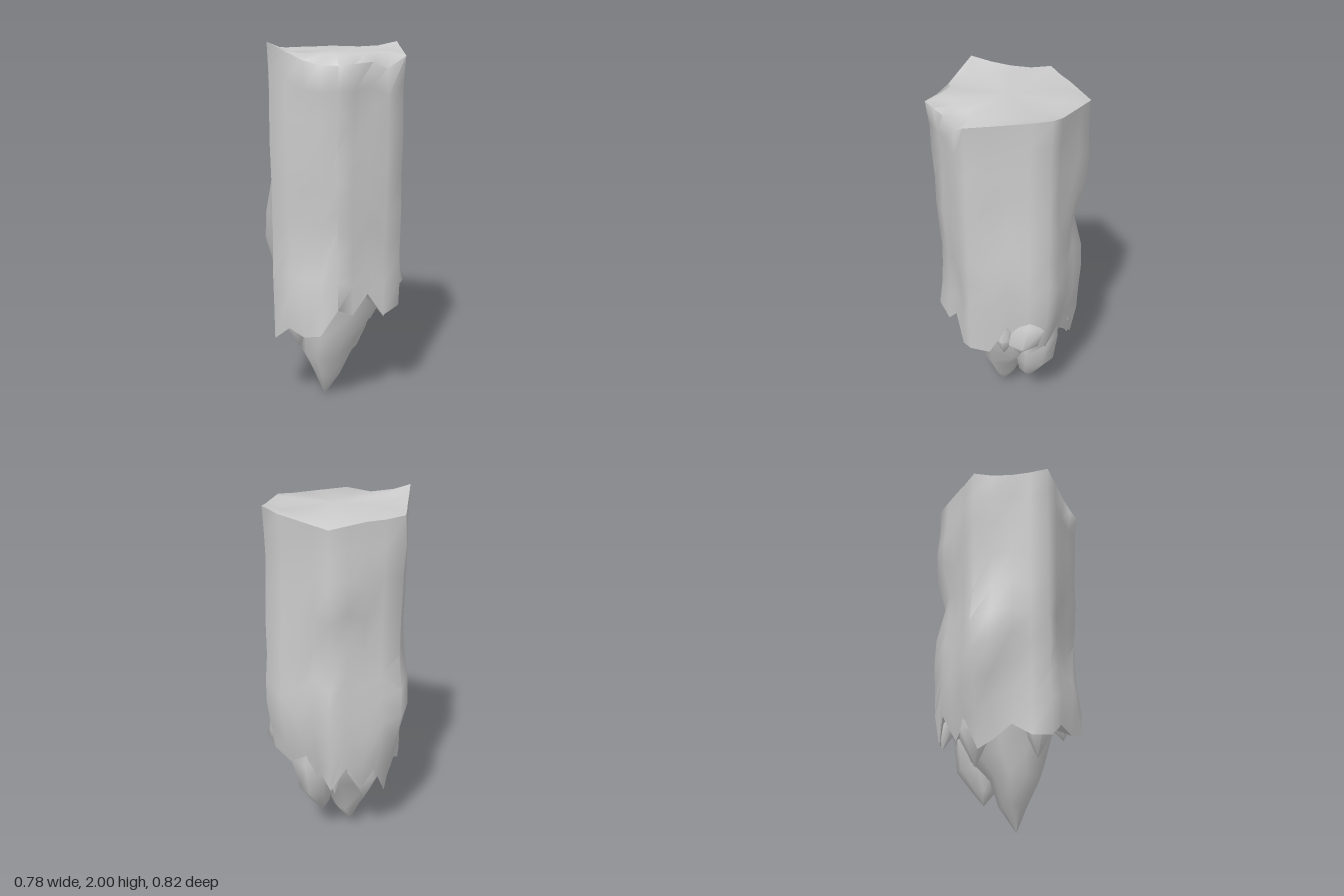
import * as THREE from 'three';
import { toCreasedNormals } from 'three/addons/utils/BufferGeometryUtils.js';

const material = new THREE.MeshStandardMaterial({ color: 0xcccccc, side: THREE.DoubleSide });
const CREASE = 1.2; // hexagon corners stay soft, rims and tips stay sharp

// Skin over a list of closed rings, ordered from top to bottom
function loft(name, rings) {
  const n = rings[0].length, index = [];
  for (let j = 0; j < rings.length - 1; j++) {
    for (let i = 0; i < n; i++) {
      const k = (i + 1) % n, a = (j + 1) * n + i, b = (j + 1) * n + k, c = j * n + k, d = j * n + i;
      index.push(a, b, c, a, c, d);
    }
  }
  const g = new THREE.BufferGeometry();
  g.setAttribute('position', new THREE.Float32BufferAttribute(rings.flat(2), 3));
  g.setIndex(index);
  const mesh = new THREE.Mesh(toCreasedNormals(g, CREASE), material);
  mesh.name = name;
  return mesh;
}

// Repeatable roughness between -0.5 and 0.5
function rough(i, j) {
  const s = Math.sin(i * 12.99 + j * 78.23) * 43758.5;
  return s - Math.floor(s) - 0.5;
}

// Hexagon corners, from the front towards +x
const CORNERS = [[0, 0.4], [0.345, 0.19], [0.345, -0.22], [0, -0.405], [-0.335, -0.21], [-0.34, 0.195]];
const STEPS = 4;
// Heights of the broken top rim and the jagged lower hem around the hexagon
const RIM = [1.9, 1.905, 1.91, 1.87, 1.93, 1.94, 1.95, 1.96, 1.975, 1.95, 1.94, 1.93,
  1.92, 1.93, 1.94, 1.94, 1.95, 1.94, 1.95, 1.97, 2.0, 1.96, 1.92, 1.9];
const HEM = [0.65, 0.6, 0.7, 0.56, 0.6, 0.57, 0.76, 0.55, 0.62, 0.52, 0.38, 0.54,
  0.46, 0.6, 0.44, 0.52, 0.36, 0.41, 0.48, 0.42, 0.42, 0.5, 0.47, 0.5];
// Bulges and dents: x, y, z, reach, outward push
const BUMPS = [
  [-0.34, 0.97, -0.1, 0.2, 0.08], [-0.335, 1.77, -0.2, 0.2, 0.02], [0.345, 1.0, -0.15, 0.35, 0.035],
  [0, 1.24, -0.4, 0.16, -0.055], [0, 0.95, -0.4, 0.25, 0.01], [-0.13, 0.62, 0.33, 0.24, 0.05],
  [-0.09, 1.6, -0.35, 0.2, 0.035], [0.24, 1.9, 0.26, 0.08, -0.025], [0.2, 0.85, -0.3, 0.2, 0.02],
  [-0.2, 0.75, -0.3, 0.2, 0.03], [0, 1.55, 0.4, 0.3, -0.025], [0, 0.95, 0.4, 0.4, -0.04],
  [0.17, 0.38, -0.31, 0.3, -0.09], [-0.32, 0.36, -0.2, 0.25, -0.07], [-0.17, 1.15, 0.3, 0.25, -0.015],
];

function perimeter() {
  const pts = [];
  CORNERS.forEach(([x, z], s) => {
    const [x2, z2] = CORNERS[(s + 1) % 6];
    for (let k = 0; k < STEPS; k++) pts.push([x + (x2 - x) * k / STEPS, z + (z2 - z) * k / STEPS]);
  });
  return pts;
}

function column() {
  const base = perimeter();
  const flat = (s, y) => base.map(([x, z]) => [x * s, y, z * s]);
  const rings = [flat(0, 1.945), flat(0.8, 1.945)];
  [0, 0.1, 0.2, 0.33, 0.46, 0.58, 0.68, 0.78, 0.88, 1].forEach((v, j) => {
    rings.push(base.map(([x, z], i) => {
      const y = RIM[i] + (HEM[i] - RIM[i]) * v;
      let push = j === 0 ? 0.005 : rough(i, j) * 0.012 - 0.012 * v * v;
      for (const [bx, by, bz, reach, amount] of BUMPS) {
        push += amount * Math.max(0, 1 - Math.hypot(x - bx, (y - by) * 0.8, z - bz) / reach);
      }
      const s = 1 + push / Math.hypot(x, z);
      return [x * s, y, z * s];
    }));
  });
  // Undercut running back into the core
  rings.push(base.map(([x, z], i) => [x * 0.75, HEM[i] + 0.05, z * 0.75]), flat(0.5, 0.72));
  return loft('column', rings);
}

// Tapered fang: sections of [x, y, z, radiusX, radiusZ]
function fang(name, sections, sides, seed) {
  return loft(name, sections.map(([x, y, z, rx, rz], j) => Array.from({ length: sides }, (_, i) => {
    const a = i / sides * Math.PI * 2 + seed;
    const w = 1 + rough(i + seed, j) * 0.15;
    return [x + Math.sin(a) * rx * w, y, z + Math.cos(a) * rz * w];
  })));
}

export function createModel() {
  const group = new THREE.Group();
  group.name = 'brokenRockPillar';
  group.add(column());

  // Core narrowing to the lowest point
  group.add(fang('coreSpike', [
    [0, 0.78, 0, 0.25, 0.27], [0, 0.55, -0.01, 0.24, 0.25], [-0.02, 0.38, -0.01, 0.18, 0.19],
    [-0.045, 0.27, 0.02, 0.145, 0.13], [-0.045, 0.13, 0.015, 0.075, 0.07], [-0.06, 0, 0.03, 0, 0],
  ], 9, 0.3));

  // Second spike carrying the rear wall down
  group.add(fang('rearSpike', [
    [0.11, 0.9, -0.18, 0.08, 0.08], [0.12, 0.55, -0.18, 0.13, 0.12], [0.11, 0.36, -0.16, 0.09, 0.11],
    [0.09, 0.24, -0.13, 0.05, 0.055], [0.08, 0.17, -0.13, 0, 0]], 7, 1.1));

  // Smaller spikes tucked under the rim
  const shards = [
    // top centre, tip, half width
    [0.2, 0.85, 0.13, 0.26, 0.52, 0.16, 0.08],
    [-0.22, 0.75, 0.15, -0.2, 0.34, 0.13, 0.1],
    [-0.08, 0.75, 0.22, -0.12, 0.46, 0.27, 0.09],
    [0, 0.8, -0.27, -0.02, 0.43, -0.35, 0.07],
    [-0.16, 0.75, -0.18, -0.16, 0.3, -0.18, 0.11],
    [0.18, 0.75, 0.01, 0.2, 0.45, 0.01, 0.08],
  ];
  shards.forEach(([x, y, z, tx, ty, tz, w], i) => {
    const mid = (a, b) => a + (b - a) * 0.6;
    group.add(fang('shard' + (i + 1), [
      [x, y, z, w * 0.5, w * 0.5],
      [mid(x, tx), mid(y, ty), mid(z, tz), w * 0.85, w * 0.85],
      [tx, ty, tz, 0, 0]], 6, i * 0.7));
  });

  // Broad lobe standing out on the +x side
  group.add(fang('sideLobe', [
    [0.3, 0.88, -0.14, 0.02, 0.04], [0.31, 0.76, -0.13, 0.055, 0.1],
    [0.32, 0.64, -0.1, 0.07, 0.09], [0.29, 0.53, -0.08, 0, 0]], 6, Math.PI / 2));
  return group;
}
